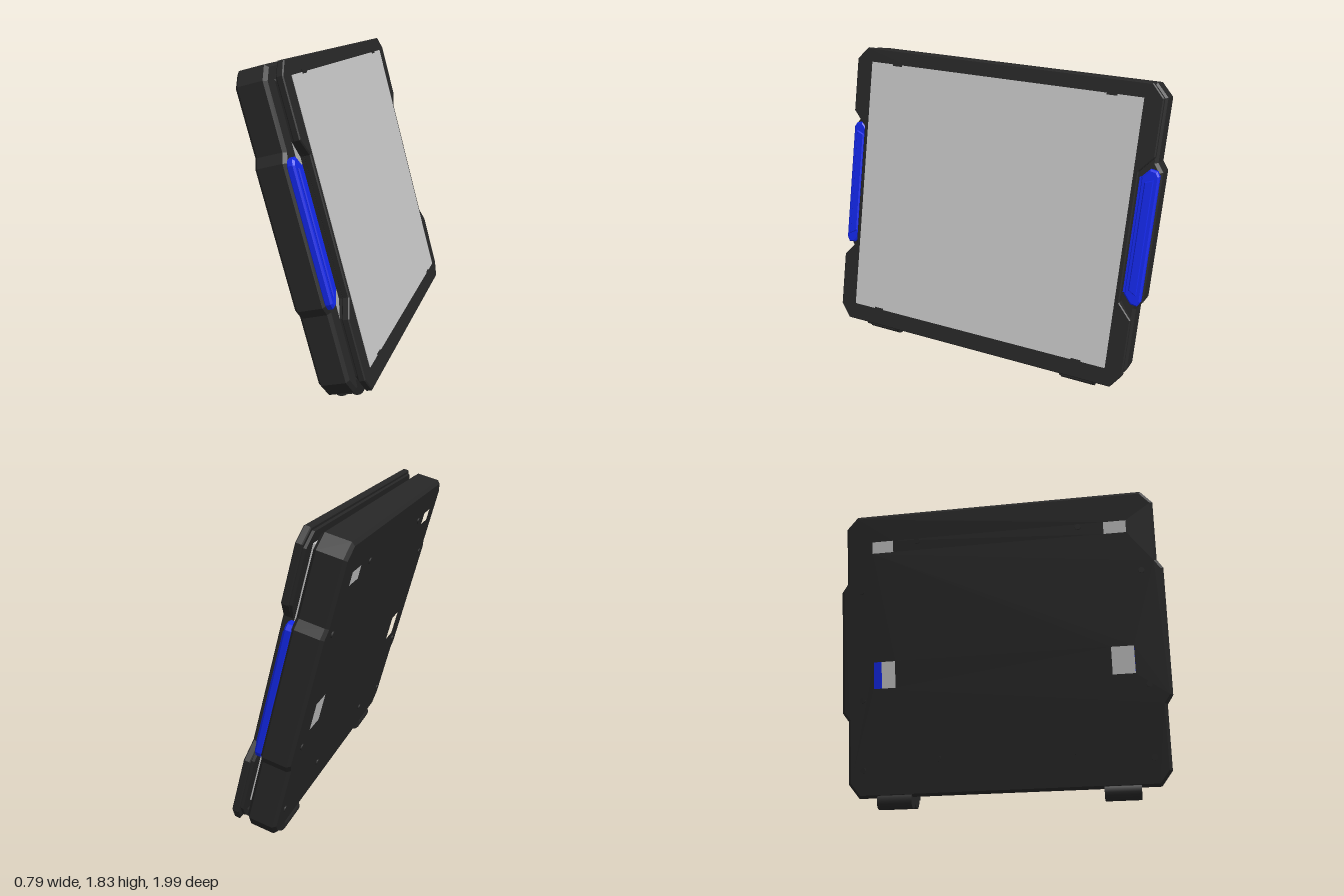
import * as THREE from 'three';

const black = new THREE.MeshStandardMaterial({ color: 0x262626 });
black.name = 'black rubber';
const grey = new THREE.MeshStandardMaterial({ color: 0xc2c2c2 });
grey.name = 'light grey panel';
const blue = new THREE.MeshStandardMaterial({ color: 0x1226e4 });
blue.name = 'blue grip';

// Local axes: x = out of the screen, y = up the panel, z = across its width.
const BOTTOM = 0.034, TOP = 1.794;

function add(parent, name, geometry, material) {
  const mesh = new THREE.Mesh(geometry, material);
  mesh.name = name;
  parent.add(mesh);
  return mesh;
}

// Extrudes a (width, height) outline along x from x0 to x1 with bevelled rims.
function slab(points, x0, x1, bevel, holes = []) {
  const toV = (p) => new THREE.Vector2(-p[0], p[1]);
  const shape = new THREE.Shape(points.map(toV));
  for (const h of holes) shape.holes.push(new THREE.Path(h.map(toV)));
  const geo = new THREE.ExtrudeGeometry(shape, {
    depth: x1 - x0 - 2 * bevel, bevelEnabled: bevel > 0, bevelSegments: 1,
    bevelSize: bevel, bevelThickness: bevel, bevelOffset: -bevel,
  });
  geo.translate(0, 0, x0 + bevel);
  return geo.rotateY(Math.PI / 2);
}

// Box given by its ranges on x, y and z
function box(x0, x1, y0, y1, z0, z1) {
  return new THREE.BoxGeometry(x1 - x0, y1 - y0, z1 - z0)
    .translate((x0 + x1) / 2, (y0 + y1) / 2, (z0 + z1) / 2);
}

// Mirrors a half outline (listed bottom to top on the +z side) into a closed one.
const mirrored = (half) => [...half, ...half.map(([z, y]) => [-z, y]).reverse()];

const rect = (z, y, w, h) => [
  [z - w / 2, y - h / 2], [z + w / 2, y - h / 2], [z + w / 2, y + h / 2], [z - w / 2, y + h / 2],
];

export function createModel() {
  const root = new THREE.Group();
  root.name = 'ruggedCase';
  const body = new THREE.Group();
  body.name = 'tiltedBody';
  body.rotation.set(0, -0.046, 0.262, 'YXZ');
  root.add(body);

  // Back shell with side bumpers and four through windows
  const shellOutline = mirrored([
    [0.89, BOTTOM], [0.955, 0.12], [0.955, 0.5], [0.99, 0.55],
    [0.99, 1.31], [0.955, 1.36], [0.955, 1.72], [0.885, TOP],
  ]);
  const windows = [];
  for (const s of [-1, 1]) {
    windows.push(rect(s * 0.72, 1.58, 0.17, 0.11), rect(s * 0.72, 0.77, 0.17, 0.2));
  }
  add(body, 'backShell', slab(shellOutline, 0.11, 0.285, 0.018, windows), black);

  // Pale panel in the gap between the two halves
  add(body, 'innerPanel', box(0.28, 0.328, 0.15, 1.71, -0.85, 0.85), grey);

  // Lid: a backing layer and a bezel, both notched for the side grips
  const lidHalf = (d) => [
    [0.89 - d, BOTTOM + d], [0.953 - d, 0.12 + d], [0.953 - d, 0.46], [0.874, 0.55],
    [0.874, 1.31], [0.953 - d, 1.4], [0.953 - d, 1.72 - d], [0.885 - d, TOP - d],
  ];
  add(body, 'lidBacking', slab(mirrored(lidHalf(0.02)), 0.32, 0.34, 0), black);
  add(body, 'lidBezel', slab(mirrored(lidHalf(0)), 0.336, 0.376, 0.006), black);
  add(body, 'screen', box(0.372, 0.379, 0.143, 1.711, -0.847, 0.847), grey);

  // Small tabs over the top and bottom edges of the screen
  for (const z of [-0.67, 0.67]) {
    for (const y of [0.14, 1.714]) {
      add(body, 'screenTab', box(0.374, 0.382, y - 0.012, y + 0.012, z - 0.03, z + 0.03), black);
    }
  }

  for (const s of [-1, 1]) {
    // Blue side grip: chamfered bar, raised rib and inner tab
    const grip = new THREE.Group();
    grip.name = 'sideGrip';
    body.add(grip);
    const outline = [
      [0.88, 0.59], [0.925, 0.535], [0.965, 0.53], [0.982, 0.56],
      [0.982, 1.29], [0.965, 1.318], [0.925, 1.325], [0.88, 1.275],
    ].map(([z, y]) => [s * z, y]);
    const rib = [
      [0.905, 0.62], [0.955, 0.59], [0.955, 1.27], [0.905, 1.25],
    ].map(([z, y]) => [s * z, y]);
    add(grip, 'gripBar', slab(outline, 0.275, 0.322, 0.01), blue);
    add(grip, 'gripRib', slab(rib, 0.31, 0.332, 0.006), blue);
    const z0 = s * 0.79, z1 = s * 0.9;
    add(grip, 'gripTab', box(0.272, 0.318, 0.6, 1.27, Math.min(z0, z1), Math.max(z0, z1)), blue);

    // Hinge: two barrels joined by a block, doubling as a foot
    const hinge = new THREE.Group();
    hinge.name = 'hingeFoot';
    hinge.position.z = s * 0.67;
    body.add(hinge);
    for (const [x, y, r] of [[0.15, 0.015, 0.05], [0.24, 0.008, 0.046]]) {
      const barrel = add(hinge, 'hingeBarrel', new THREE.CylinderGeometry(r, r, 0.21, 20), black);
      barrel.rotation.x = Math.PI / 2;
      barrel.position.set(x, y, 0);
    }
    add(hinge, 'hingeBlock', box(0.15, 0.24, -0.03, 0.06, -0.1, 0.1), black);
    add(hinge, 'hingeLeaf', box(0.24, 0.338, 0.01, 0.1, -0.1, 0.1), black);

    // Screw heads on the back
    for (const [z, y] of [[0.86, 0.2], [0.86, 0.62], [0.86, 1.3], [0.5, 1.6], [0.4, 0.25]]) {
      const screw = add(body, 'screwHead', new THREE.CylinderGeometry(0.018, 0.018, 0.012, 12), black);
      screw.rotation.z = Math.PI / 2;
      screw.position.set(0.109, y, s * z);
    }
  }

  // Spine bar between the hinges
  add(body, 'spineBar', box(0.26, 0.33, 0.05, 0.09, -0.86, 0.86), black);

  return root;
}
